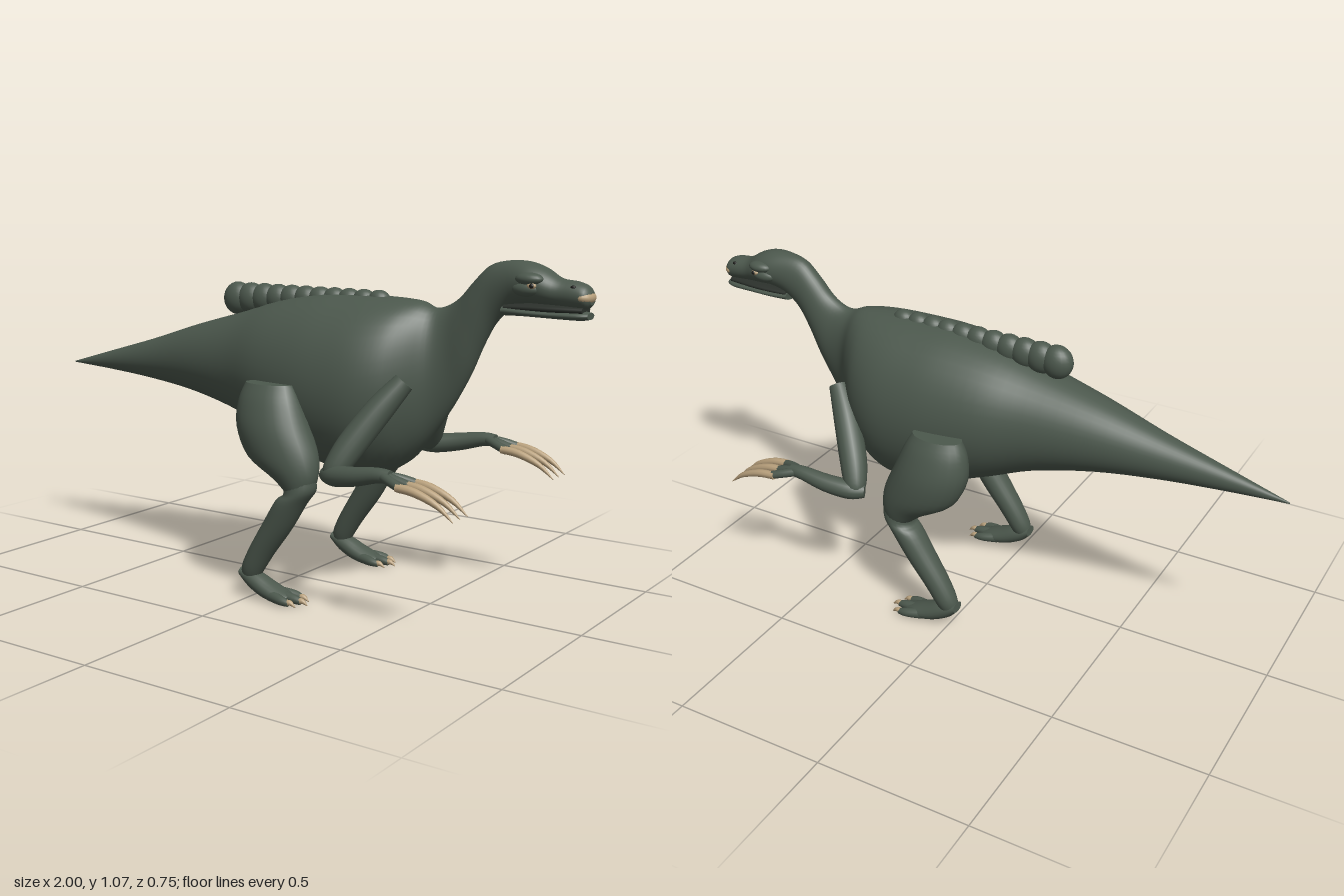
import * as THREE from 'three';

const hide = new THREE.MeshStandardMaterial({ color: 0x4c584d });
hide.name = 'greenGreyHide';
const horn = new THREE.MeshStandardMaterial({ color: 0xb8a07c });
horn.name = 'hornBeige';
const dark = new THREE.MeshStandardMaterial({ color: 0x1c1c1a });
dark.name = 'darkPupil';
const mouthMat = new THREE.MeshStandardMaterial({ color: 0x2b302b });
mouthMat.name = 'mouthShadow';

// Catmull-Rom interpolation of rows of numbers
function smoothRows(rows, steps) {
  const out = [];
  const n = rows.length;
  for (let i = 0; i < n - 1; i++) {
    const [p0, p1, p2, p3] = [-1, 0, 1, 2].map(k => rows[Math.min(n - 1, Math.max(0, i + k))]);
    for (let s = 0; s < steps; s++) {
      const t = s / steps;
      out.push(p1.map((v, k) => v + 0.5 * t * (p2[k] - p0[k]
        + t * (2 * p0[k] - 5 * v + 4 * p2[k] - p3[k] + t * (3 * (v - p2[k]) + p3[k] - p0[k])))));
    }
  }
  out.push(rows[n - 1]);
  return out;
}

// Closed skin through elliptical rings { c, u, w }, with flat end caps
function skin(rings, sides) {
  const pos = [], index = [];
  const addRing = ({ c, u, w }) => {
    for (let j = 0; j < sides; j++) {
      const a = (j / sides) * Math.PI * 2;
      const p = c.clone().addScaledVector(u, Math.cos(a)).addScaledVector(w, Math.sin(a));
      pos.push(p.x, p.y, p.z);
    }
  };
  rings.forEach(addRing);
  for (let i = 0; i < rings.length - 1; i++) {
    for (let j = 0; j < sides; j++) {
      const a = i * sides + j, b = i * sides + (j + 1) % sides;
      index.push(a, b, a + sides, b, b + sides, a + sides);
    }
  }
  [rings[0], rings[rings.length - 1]].forEach((r, end) => {
    const start = pos.length / 3;
    addRing(r);
    pos.push(r.c.x, r.c.y, r.c.z);
    for (let j = 0; j < sides; j++) {
      const a = start + j, b = start + (j + 1) % sides;
      if (end) index.push(start + sides, a, b);
      else index.push(start + sides, b, a);
    }
  });
  const g = new THREE.BufferGeometry();
  g.setAttribute('position', new THREE.Float32BufferAttribute(pos, 3));
  g.setIndex(index);
  g.computeVertexNormals();
  return g;
}

// Rows: [ax, ay, bx, by, halfWidth, zCentre], a and b being opposite outline points
function outlineLoft(rows, sides = 32, steps = 4) {
  return skin(smoothRows(rows, steps).map(([ax, ay, bx, by, hw, z = 0]) => ({
    c: new THREE.Vector3((ax + bx) / 2, (ay + by) / 2, z),
    u: new THREE.Vector3((ax - bx) / 2, (ay - by) / 2, 0),
    w: new THREE.Vector3(0, 0, hw),
  })), sides);
}

// Rows: [x, y, z, radius] along a path
function limb(rows, sides = 14, steps = 4) {
  const pts = smoothRows(rows, steps);
  const vec = p => new THREE.Vector3(p[0], p[1], p[2]);
  return skin(pts.map((p, i) => {
    const t = vec(pts[Math.min(i + 1, pts.length - 1)]).sub(vec(pts[Math.max(i - 1, 0)])).normalize();
    const w = new THREE.Vector3(0, 0, 1).addScaledVector(t, -t.z).normalize();
    const u = w.clone().cross(t);
    return { c: vec(p), u: u.multiplyScalar(p[3]), w: w.multiplyScalar(p[3]) };
  }), sides);
}

export function createModel() {
  const model = new THREE.Group();
  const add = (name, geometry, material, parent = model) => {
    const m = new THREE.Mesh(geometry, material);
    m.name = name;
    parent.add(m);
    return m;
  };
  const ball = (name, mat, p, r, parent = model) => {
    const m = add(name, new THREE.SphereGeometry(1, 20, 14), mat, parent);
    m.position.set(...p);
    m.scale.set(...r);
    return m;
  };

  // Tail, trunk, neck and skull as one skin
  add('body', outlineLoft([
    [-1, 0.643, -1, 0.639, 0.002],
    [-0.8, 0.70, -0.8, 0.628, 0.032],
    [-0.6, 0.757, -0.6, 0.612, 0.066],
    [-0.4, 0.82, -0.4, 0.585, 0.108],
    [-0.2, 0.875, -0.2, 0.535, 0.152],
    [-0.05, 0.92, -0.05, 0.475, 0.198],
    [0.1, 0.945, 0.1, 0.418, 0.222],
    [0.22, 0.95, 0.22, 0.392, 0.226],
    [0.32, 0.95, 0.32, 0.395, 0.216],
    [0.40, 0.947, 0.40, 0.435, 0.182],
    [0.455, 0.941, 0.46, 0.49, 0.13],
    [0.5, 0.925, 0.515, 0.56, 0.078],
    [0.54, 0.932, 0.57, 0.64, 0.056],
    [0.585, 0.96, 0.62, 0.73, 0.052],
    [0.63, 1.01, 0.66, 0.82, 0.049],
    [0.68, 1.057, 0.70, 0.89, 0.047],
    [0.74, 1.073, 0.75, 0.935, 0.052],
    [0.80, 1.073, 0.80, 0.953, 0.061],
    [0.85, 1.058, 0.85, 0.953, 0.06],
    [0.90, 1.03, 0.90, 0.95, 0.044],
    [0.95, 1.023, 0.95, 0.946, 0.041],
    [0.98, 1.012, 0.98, 0.947, 0.037],
    [0.994, 0.995, 0.994, 0.958, 0.02],
  ], 40), hide);

  // Mouth and lower jaw
  add('mouth', outlineLoft([
    [0.74, 0.955, 0.74, 0.93, 0.042],
    [0.86, 0.957, 0.86, 0.93, 0.045],
    [0.975, 0.955, 0.975, 0.93, 0.03],
  ], 20), mouthMat);
  add('lowerJaw', outlineLoft([
    [0.735, 0.95, 0.735, 0.916, 0.047],
    [0.80, 0.944, 0.80, 0.917, 0.05],
    [0.88, 0.941, 0.88, 0.915, 0.043],
    [0.96, 0.941, 0.96, 0.914, 0.037],
    [0.99, 0.938, 0.99, 0.918, 0.024],
  ], 24), hide);
  ball('beak', horn, [0.972, 0.979, 0], [0.028, 0.021, 0.041]);

  // Row of back bumps, shrinking toward the neck
  const bumps = new THREE.Group();
  bumps.name = 'backBumps';
  model.add(bumps);
  for (let i = 0; i < 11; i++) {
    const k = i / 10, ry = 0.054 - 0.024 * k;
    ball('backBump', hide, [-0.243 + 0.545 * k, 0.967 - ry, 0],
      [0.052 - 0.016 * k, ry, 0.041 - 0.011 * k], bumps);
  }

  for (const s of [1, -1]) {
    const side = new THREE.Group();
    side.name = s > 0 ? 'nearSide' : 'farSide';
    model.add(side);
    const part = (name, geometry, mat = hide) => add(name, geometry, mat, side);
    const mirrorPath = rows => rows.map(([x, y, z, r]) => [x, y, z * s, r]);
    const mirrorLoft = rows => rows.map(r => [...r.slice(0, 5), r[5] * s]);

    // Face details
    ball('brow', hide, [0.825, 1.027, 0.05 * s], [0.042, 0.018, 0.026], side);
    ball('cheek', hide, [0.815, 0.998, 0.045 * s], [0.045, 0.022, 0.025], side);
    ball('eye', horn, [0.838, 1.009, 0.062 * s], [0.014, 0.009, 0.01], side);
    ball('pupil', dark, [0.841, 1.009, 0.069 * s], [0.007, 0.007, 0.005], side);
    ball('nostril', dark, [0.948, 1.008, 0.029 * s], [0.009, 0.005, 0.007], side);

    // Thigh, shin and foot
    part('thigh', outlineLoft(mirrorLoft([
      [0.135, 0.685, -0.035, 0.685, 0.045, 0.225],
      [0.16, 0.64, -0.055, 0.63, 0.068, 0.23],
      [0.195, 0.56, -0.055, 0.55, 0.086, 0.234],
      [0.23, 0.48, -0.01, 0.46, 0.082, 0.238],
      [0.238, 0.42, 0.09, 0.40, 0.06, 0.246],
      [0.225, 0.37, 0.14, 0.36, 0.042, 0.25],
    ]), 24));
    part('shin', outlineLoft(mirrorLoft([
      [0.235, 0.40, 0.13, 0.385, 0.045, 0.25],
      [0.232, 0.37, 0.13, 0.355, 0.05, 0.25],
      [0.20, 0.325, 0.105, 0.335, 0.052, 0.254],
      [0.148, 0.24, 0.06, 0.265, 0.047, 0.255],
      [0.085, 0.155, 0.005, 0.175, 0.041, 0.256],
      [0.045, 0.095, -0.025, 0.115, 0.036, 0.257],
      [0.03, 0.07, -0.032, 0.08, 0.028, 0.257],
    ]), 24));
    part('foot', outlineLoft(mirrorLoft([
      [-0.03, 0.10, -0.034, 0.07, 0.026, 0.257],
      [0.03, 0.088, 0.0, 0.038, 0.034, 0.257],
      [0.08, 0.066, 0.06, 0.012, 0.04, 0.257],
      [0.13, 0.045, 0.12, 0.006, 0.04, 0.257],
      [0.15, 0.036, 0.148, 0.012, 0.026, 0.257],
    ]), 20));
    for (const k of [-1, 0, 1]) {
      const z = 0.257 + k * 0.036, x = k ? 0 : 0.02;
      part('toe', limb(mirrorPath([
        [0.09, 0.03, 0.257 + k * 0.022, 0.018], [0.14 + x, 0.026, z, 0.015], [0.17 + x, 0.021, z, 0.01]])));
      part('toeClaw', limb(mirrorPath([
        [0.162 + x, 0.023, z, 0.01], [0.178 + x, 0.024, z, 0.008], [0.195 + x, 0.013, z, 0.001]]), 10), horn);
    }

    // Arm, fingers and long curved claws
    part('upperArm', limb(mirrorPath([
      [0.475, 0.715, 0.135, 0.032], [0.42, 0.635, 0.18, 0.042],
      [0.36, 0.53, 0.24, 0.044], [0.328, 0.46, 0.28, 0.036], [0.315, 0.435, 0.29, 0.022]]), 18));
    part('forearm', limb(mirrorPath([
      [0.295, 0.442, 0.278, 0.022], [0.34, 0.445, 0.297, 0.031], [0.42, 0.457, 0.315, 0.029],
      [0.50, 0.473, 0.322, 0.023], [0.545, 0.473, 0.322, 0.02]]), 18));
    for (const k of [-1, 0, 1]) {
      const z = 0.319 + k * 0.042;
      part('finger', limb(mirrorPath([
        [0.525, 0.474, 0.321 + k * 0.008, 0.014], [0.565, 0.466, 0.32 + k * 0.028, 0.014], [0.605, 0.455, z, 0.013]])));
      part('handClaw', limb(mirrorPath([
        [0.59, 0.457, z, 0.013], [0.65, 0.45, z, 0.013], [0.72, 0.423, z, 0.009], [0.77, 0.383, z, 0.001]]), 10), horn);
    }
  }
  return model;
}
